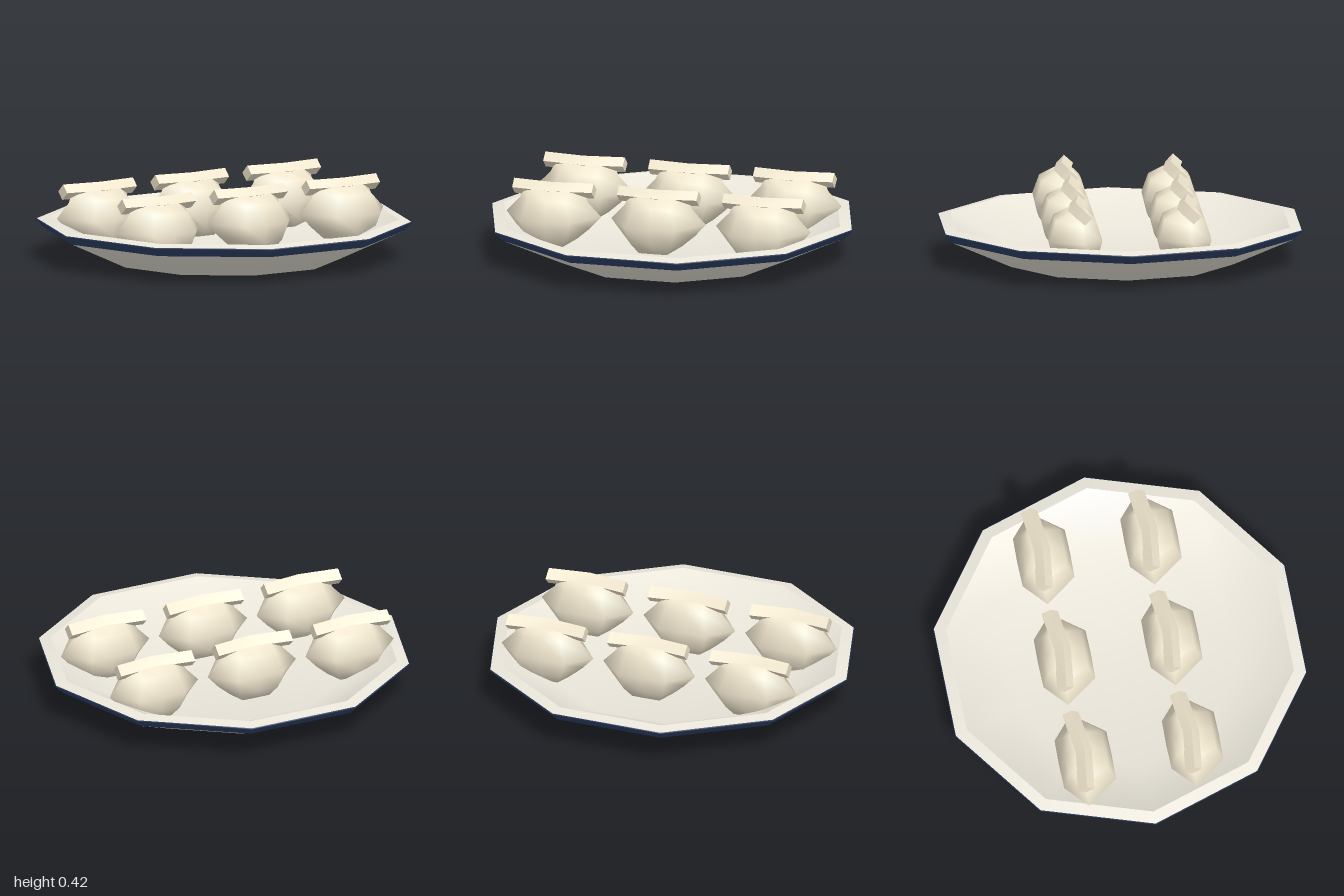
import * as THREE from 'three';
import { toCreasedNormals } from 'three/addons/utils/BufferGeometryUtils.js';

// Skin a list of closed rings (arrays of [x, y, z]) and cap both ends
function loft(rings) {
  const n = rings[0].length, pos = [], idx = [];
  for (const ring of rings) for (const p of ring) pos.push(...p);
  for (let r = 0; r < rings.length - 1; r++) {
    for (let i = 0; i < n; i++) {
      const a = r * n + i, b = r * n + (i + 1) % n;
      idx.push(a, b, a + n, b, b + n, a + n);
    }
  }
  const addCap = (ring, start, flip) => {
    const c = [0, 1, 2].map(k => ring.reduce((s, p) => s + p[k], 0) / n);
    const ci = pos.length / 3;
    pos.push(...c);
    for (let i = 0; i < n; i++) {
      const a = start + i, b = start + (i + 1) % n;
      if (flip) idx.push(ci, b, a); else idx.push(ci, a, b);
    }
  };
  addCap(rings[0], 0, true);
  addCap(rings[rings.length - 1], (rings.length - 1) * n, false);
  const g = new THREE.BufferGeometry();
  g.setAttribute('position', new THREE.Float32BufferAttribute(pos, 3));
  g.setIndex(idx);
  g.computeVertexNormals();
  return g;
}

// Ten-sided turned surface with corners on the x axis
function turned(profile) {
  const pts = profile.map(([r, y]) => new THREE.Vector2(r, y));
  return new THREE.LatheGeometry(pts, 10, Math.PI / 2);
}

// Plump body: eight-sided rings with pointed ends, rounded below, pinched towards the seam
function bodyGeometry() {
  const levels = [ // y, tip height, half length, half depth, z shift, corner position
    [0.085, 0.11, 0.13, 0.08, 0, 0.6],
    [0.14, 0.17, 0.2, 0.118, 0, 0.55],
    [0.23, 0.237, 0.262, 0.14, 0, 0.52],
    [0.335, 0.315, 0.187, 0.106, 0, 0.56],
    [0.376, 0.365, 0.165, 0.045, -0.02, 0.6],
  ];
  return loft(levels.map(([y, ty, l, d, s, c]) => {
    const tip = -0.03;
    return [
      [l, ty, tip], [l * c, y, s - d], [0, y, s - d * 1.02], [-l * c, y, s - d],
      [-l, ty, tip], [-l * c, y, s + d], [0, y, s + d * 1.02], [l * c, y, s + d],
    ];
  }));
}

// Folded seam: a tilted square bar bent forward in the middle
function seamGeometry() {
  const section = [[0.417, -0.033], [0.375, 0.007], [0.333, -0.042], [0.373, -0.082]];
  const path = [[-0.22, 0], [0, 0.028], [0.22, 0]];
  const g = loft(path.map(([x, dz]) => section.map(([y, z]) => [x, y, z + dz])));
  return toCreasedNormals(g, 0.6);
}

export function createModel() {
  const group = new THREE.Group();
  const china = new THREE.MeshStandardMaterial({ color: 0xeae6da });
  const navy = new THREE.MeshStandardMaterial({ color: 0x2e4066 });
  const dough = new THREE.MeshStandardMaterial({ color: 0xf0e6ce });

  const add = (parent, name, geometry, material) => {
    const mesh = new THREE.Mesh(geometry, material);
    mesh.name = name;
    parent.add(mesh);
  };

  // Plate: underside, coloured band, narrow lip and sunken dish
  const plate = new THREE.Group();
  plate.name = 'plate';
  add(plate, 'plateUnderside', turned([[0, 0], [0.62, 0], [0.955, 0.152]]), china);
  add(plate, 'plateRimBand', turned([[0.955, 0.152], [1, 0.195], [0.995, 0.202]]), navy);
  add(plate, 'plateLip', turned([[0.995, 0.202], [0.93, 0.214]]), china);
  add(plate, 'plateDish', turned([[0.93, 0.214], [0.62, 0.068], [0, 0.068]]), china);
  group.add(plate);

  // Two rows of three dumplings
  const body = bodyGeometry(), seam = seamGeometry();
  for (const z of [0.28, -0.3]) {
    for (const x of [-0.58, 0, 0.58]) {
      const dumpling = new THREE.Group();
      dumpling.name = 'dumpling';
      add(dumpling, 'dumplingBody', body, dough);
      add(dumpling, 'dumplingSeam', seam, dough);
      dumpling.position.set(x, 0, z);
      group.add(dumpling);
    }
  }
  return group;
}
